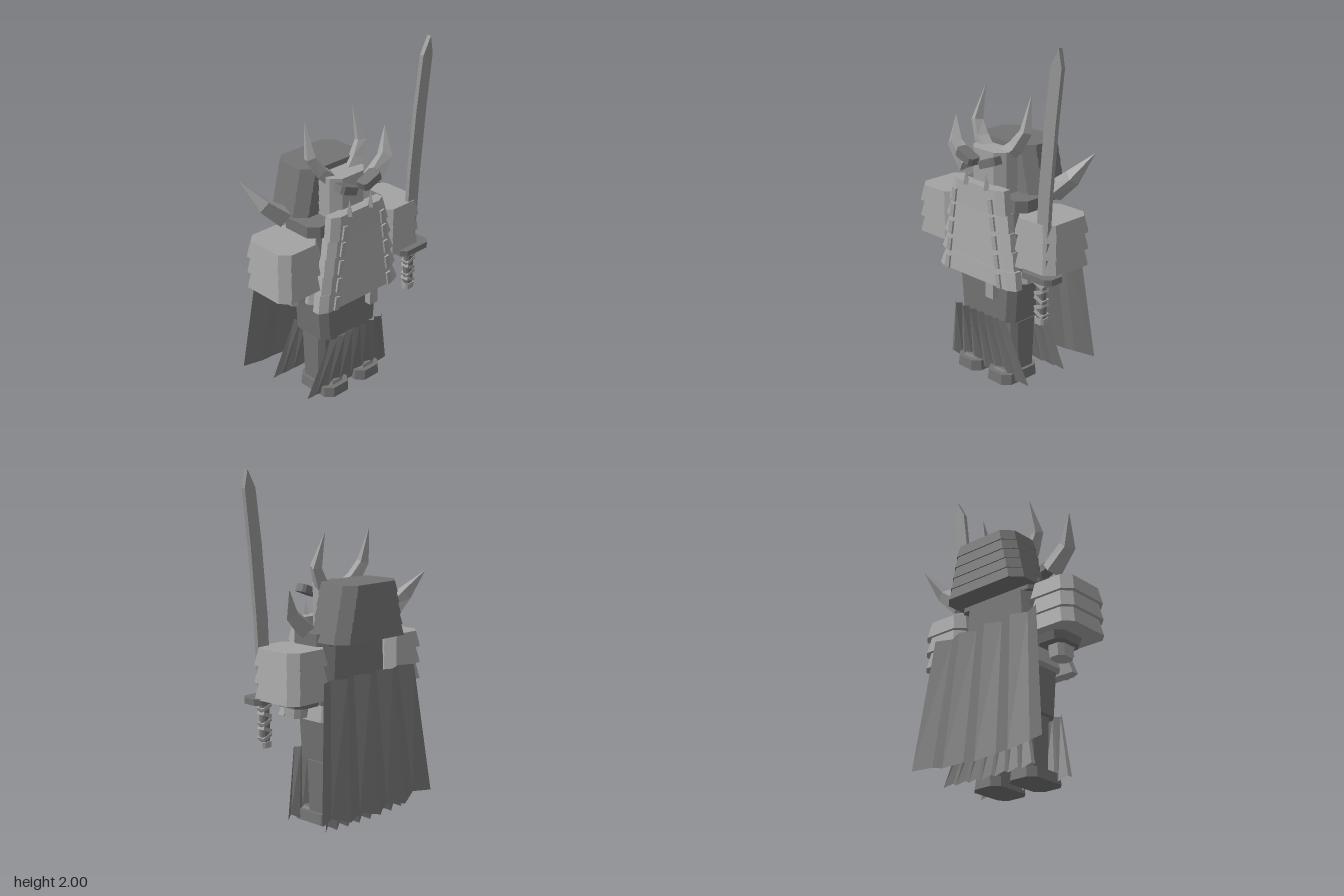
import * as THREE from 'three';

const flat = (name, color) => {
  const m = new THREE.MeshStandardMaterial({ color });
  m.name = name;
  m.flatShading = true;
  return m;
};

// Closed solid skinned over rings of [x, y, z] points (counterclockwise from above, bottom first)
function loft(rings) {
  const n = rings[0].length, pos = [], idx = [];
  rings.forEach(r => r.forEach(p => pos.push(...p)));
  for (let k = 0; k < rings.length - 1; k++) {
    for (let i = 0; i < n; i++) {
      const a = k * n + i, b = k * n + (i + 1) % n;
      idx.push(a, b, b + n, a, b + n, a + n);
    }
  }
  const t = (rings.length - 1) * n;
  for (let i = 1; i < n - 1; i++) idx.push(0, i + 1, i, t, t + i, t + i + 1);
  return finish(pos, idx);
}

function finish(pos, idx) {
  const g = new THREE.BufferGeometry();
  g.setAttribute('position', new THREE.Float32BufferAttribute(pos, 3));
  g.setIndex(idx);
  const out = g.toNonIndexed();
  out.computeVertexNormals();
  return out;
}

// Chamfered rectangle ring
const octRing = (w, d, c, y) => [
  [w, y, d - c], [w, y, c - d], [w - c, y, -d], [c - w, y, -d],
  [-w, y, c - d], [-w, y, d - c], [c - w, y, d], [w - c, y, d]];

// Chamfered block: bottom and top half sizes, height
const block = (w0, d0, w1, d1, h, c = 0.04) =>
  loft([octRing(w0, d0, c, -h / 2), octRing(w1, d1, c, h / 2)]);

// Four-sided bent horn through [x, y, z, radius] stations
function horn(stations) {
  const up = new THREE.Vector3(0, 1, 0);
  const pts = stations.map(s => new THREE.Vector3(s[0], s[1], s[2]));
  return loft(stations.map((s, k) => {
    const dir = pts[Math.min(k + 1, pts.length - 1)].clone().sub(pts[Math.max(k - 1, 0)]).normalize();
    const q = new THREE.Quaternion().setFromUnitVectors(up, dir);
    return [0, 1, 2, 3].map(i => {
      const a = i * Math.PI / 2 + 0.4;
      return new THREE.Vector3(Math.cos(a) * s[3], 0, -Math.sin(a) * s[3]).applyQuaternion(q).add(pts[k]).toArray();
    });
  }));
}

// Zigzag cloth between a top and a bottom edge
function pleats(n, top, bottom, depth, hem) {
  const pos = [], idx = [];
  for (let i = 0; i <= n; i++) {
    const u = i / n * 2 - 1, f = i % 2 ? depth : 0, sag = hem * u * u;
    pos.push(top.w * u, top.y, top.z + f, bottom.w * u, bottom.y + sag + (i % 2 ? 0.025 : 0), bottom.z + f);
    if (i < n) { const a = i * 2; idx.push(a, a + 1, a + 3, a, a + 3, a + 2); }
  }
  return finish(pos, idx);
}

export function createModel() {
  const light = flat('light armour grey', 0xa3a3a3);
  const dark = flat('dark grey', 0x737373);
  const steel = flat('blade grey', 0x959595);
  const cloth = flat('cloth grey', 0x757575);
  cloth.side = THREE.DoubleSide;

  const root = new THREE.Group();
  root.name = 'armouredWarrior';
  const body = new THREE.Group();
  body.name = 'body';
  body.position.x = -0.022;
  root.add(body);
  const add = (name, geo, mat, x = 0, y = 0, z = 0, parent = body) => {
    const m = new THREE.Mesh(geo, mat);
    m.name = name;
    m.position.set(x, y, z);
    parent.add(m);
    return m;
  };

  // Torso and hips
  add('torso', block(0.26, 0.135, 0.24, 0.135, 0.36, 0.05), dark, 0, 0.87, 0.02);
  add('collar', block(0.285, 0.135, 0.285, 0.135, 0.07, 0.05), dark, 0, 1.075, 0.025);
  add('waistGuard', block(0.28, 0.145, 0.26, 0.135, 0.09, 0.05), light, 0, 0.665, 0.01);
  add('hips', block(0.21, 0.135, 0.23, 0.135, 0.25, 0.04), dark, 0, 0.495, 0.035);
  add('sashKnot', new THREE.BoxGeometry(0.06, 0.1, 0.04), light, 0.11, 0.575, 0.215);

  // Overlapping chest bands with lacing plates
  const chestRing = (w, y, z) => [
    [w, y, z - 0.025], [w, y, z - 0.07], [-w, y, z - 0.07],
    [-w, y, z - 0.025], [0.05 - w, y, z], [w - 0.05, y, z]];
  [[1.035, 0.225], [0.94, 0.25], [0.835, 0.27], [0.73, 0.29], [0.62, 0.31]].forEach(([y, w], i) => {
    const h = i ? 0.095 : 0.13;
    add('chestBand', loft([chestRing(w, y, 0.247), chestRing(w - 0.03, y + h, 0.228)]), light);
    for (const s of [-1, 1]) {
      const lace = add('lacing', new THREE.BoxGeometry(0.03, 0.08, 0.012), light, s * (0.145 + i * 0.015), y + 0.045, 0.258);
      lace.rotation.z = s * 0.16;
    }
  });

  // Head and layered helmet
  add('head', block(0.13, 0.105, 0.13, 0.105, 0.25, 0.05), light, 0, 1.225, 0.065);
  for (let i = 0; i < 5; i++) {
    const w = 0.281 - i * 0.014;
    add('helmetBand', block(w, 0.146, w - 0.016, 0.138, 0.064, 0.06), dark, 0, 1.098 + i * 0.0625, -0.105);
  }

  for (const s of [-1, 1]) {
    // Brow, tusk and horns
    const brow = add('brow', block(0.066, 0.04, 0.066, 0.04, 0.045, 0.015), dark, s * 0.088, 1.305, 0.205);
    brow.rotation.z = s * 0.36;
    add('tusk', new THREE.ConeGeometry(0.022, 0.1, 4), light, s * 0.08, 1.2, 0.225);
    add('helmetHorn', horn([
      [s * 0.07, 1.31, 0.075, 0.05], [s * 0.135, 1.37, 0.055, 0.045],
      [s * 0.19, 1.46, 0.035, 0.036], [s * 0.178, 1.65, -0.02, 0.002]]), light);
    add('shoulderHorn', horn([
      [s * 0.34, 1.145, -0.025, 0.062], [s * 0.465, 1.25, -0.04, 0.048],
      [s * 0.547, 1.385, -0.125, 0.002]]), light);

    // Shoulder plates and arms
    for (let i = 0; i < 3; i++) {
      add('shoulderPlate', block(0.155, 0.175, 0.135, 0.16, 0.093, 0.05), light, s * 0.388, 0.805 + i * 0.095, 0.033);
    }
    add('upperArm', block(0.09, 0.1, 0.1, 0.115, 0.05), dark, s * 0.335, 0.738, 0.03);
    add('forearm', block(0.05, 0.06, 0.055, 0.07, 0.07, 0.025), light, s * 0.335, 0.68, 0.05);

    // Legs and feet
    add('leg', block(0.075, 0.085, 0.08, 0.095, 0.3, 0.03), dark, s * 0.12, 0.21, 0.035);
    add('foot', block(0.096, 0.138, 0.09, 0.134, 0.06, 0.04), dark, s * 0.125, 0.03, 0.073);
    add('toeGuard', block(0.07, 0.07, 0.06, 0.06, 0.014, 0.03), dark, s * 0.125, 0.066, 0.11);
  }

  // Pleated skirts and cape
  add('frontSkirt', pleats(14, { w: 0.205, y: 0.405, z: 0.205 }, { w: 0.32, y: 0.005, z: 0.135 }, 0.025, 0.01), cloth);
  add('backSkirt', pleats(14, { w: 0.205, y: 0.4, z: -0.1 }, { w: 0.32, y: 0.005, z: -0.16 }, 0.025, 0.01), cloth);
  add('cape', pleats(8, { w: 0.37, y: 0.87, z: -0.2 }, { w: 0.455, y: 0.07, z: -0.268 }, 0.04, 0.04), cloth);

  // Sword with curved blade, guard and wrapped grip
  const sword = new THREE.Group();
  sword.name = 'sword';
  root.add(sword);
  const shape = new THREE.Shape([
    [0.395, 0.765], [0.47, 0.765], [0.495, 1.2], [0.53, 1.6], [0.565, 1.9],
    [0.545, 2], [0.49, 1.9], [0.45, 1.6], [0.413, 1.2]].map(p => new THREE.Vector2(...p)));
  add('blade', new THREE.ExtrudeGeometry(shape, { depth: 0.026, bevelEnabled: false }), steel, 0, 0, 0.162, sword);
  add('guard', block(0.112, 0.068, 0.112, 0.068, 0.035, 0.03), dark, 0.433, 0.748, 0.177, sword);
  add('grip', block(0.028, 0.022, 0.028, 0.022, 0.25, 0.01), dark, 0.432, 0.605, 0.177, sword);
  add('pommel', block(0.034, 0.028, 0.034, 0.028, 0.035, 0.012), light, 0.432, 0.487, 0.177, sword);
  for (let i = 0; i < 5; i++) {
    const wrap = add('gripWrap', new THREE.BoxGeometry(0.064, 0.02, 0.052), light, 0.432, 0.53 + i * 0.042, 0.177, sword);
    wrap.rotation.z = i % 2 ? 0.4 : -0.4;
  }
  return root;
}
